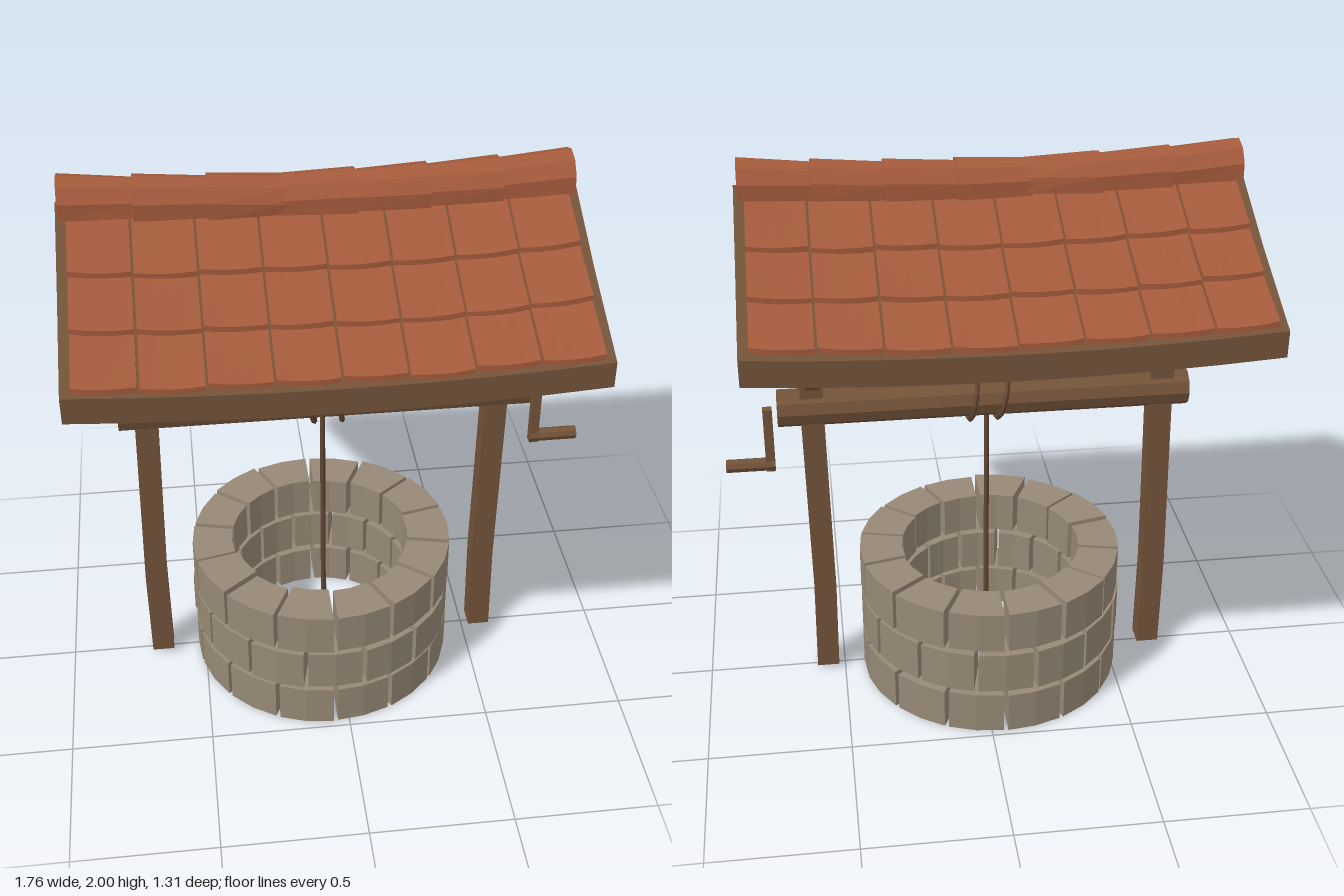
import * as THREE from 'three';

const mat = (name, color, side = THREE.FrontSide) =>
  Object.assign(new THREE.MeshStandardMaterial({ color, flatShading: true, side }), { name });

// Seeded jitter in the range -0.5 to 0.5
let seed = 7;
const jitter = () => {
  seed = (seed * 16807) % 2147483647;
  return seed / 2147483647 - 0.5;
};

const CX = -0.05; // middle of the well and of the roof

// Roof height, sagging towards the middle of its length
const sag = (x) => -0.03 * Math.max(0, 1 - ((x - CX) / 0.83) ** 2);
const roofY = (x, z) => {
  const d = Math.abs(z);
  return (d < 0.32 ? 1.91 - 0.516 * d : 1.745 - 0.453 * (d - 0.32)) + sag(x);
};

// Move every vertex of a geometry by a rule
function bend(geometry, rule) {
  const p = geometry.attributes.position;
  const v = new THREE.Vector3();
  for (let i = 0; i < p.count; i++) {
    v.fromBufferAttribute(p, i);
    rule(v);
    p.setXYZ(i, v.x, v.y, v.z);
  }
  geometry.computeVertexNormals();
  return geometry;
}

export function createModel() {
  const model = new THREE.Group();
  model.name = 'well';
  const wood = mat('wood', 0x735339);
  const endGrain = mat('endGrain', 0x93836d);
  const stone = mat('stone', 0x968975);
  const tile = mat('clayTile', 0xa45a3b);
  const ropeMat = mat('rope', 0x5f4632);

  const add = (name, geometry, material, x = 0, y = 0, z = 0, parent = model) => {
    const mesh = new THREE.Mesh(geometry, material);
    mesh.name = name;
    mesh.position.set(x, y, z);
    parent.add(mesh);
    return mesh;
  };
  const group = (name) => {
    const g = new THREE.Group();
    g.name = name;
    model.add(g);
    return g;
  };

  // Stone ring: three courses of wedge blocks with staggered joints
  const wall = group('stoneWall');
  const blocks = 14;
  const step = (Math.PI * 2) / blocks;
  for (let row = 0; row < 3; row++) {
    for (let i = 0; i < blocks; i++) {
      const outer = 0.476 + jitter() * 0.008;
      const inner = 0.325 + jitter() * 0.01;
      const mid = -Math.PI / 2 + (i + (row % 2 ? 0 : 0.5)) * step;
      const points = [];
      for (const [r, dir] of [[outer, 1], [inner, -1]]) {
        const half = step / 2 - 0.008 / r;
        for (let k = -1; k <= 1; k++) {
          const a = mid + dir * k * half;
          points.push(new THREE.Vector2(Math.cos(a) * r, Math.sin(a) * r));
        }
      }
      const g = new THREE.ExtrudeGeometry(new THREE.Shape(points), {
        depth: 0.153 + jitter() * 0.006, bevelEnabled: false,
      });
      g.rotateX(-Math.PI / 2);
      add('stoneBlock', g, stone, CX, row * 0.172 + 0.003, 0, wall);
    }
  }

  // Posts with a pair of diagonal braces each
  for (const x of [-0.66, 0.565]) {
    const post = new THREE.BoxGeometry(0.08, 1.42, 0.08, 1, 4, 1);
    bend(post, (v) => { v.x += 0.006 * Math.sin(v.y * 4); });
    add('post', post, wood, x, 0.73, 0);
    for (const s of [-1, 1]) {
      const brace = add('brace', new THREE.BoxGeometry(0.048, 0.38, 0.045), wood, x, 1.318, s * 0.138);
      brace.rotation.x = s * 0.76;
    }
  }
  add('topBeam', new THREE.BoxGeometry(1.4, 0.085, 0.084), wood, CX, 1.5, 0);

  // Windlass roller with pale end grain, and its crank
  const roller = new THREE.CylinderGeometry(0.066, 0.066, 1.44, 10);
  roller.rotateZ(Math.PI / 2);
  add('roller', roller, [wood, endGrain, endGrain], -0.03, 1.1, 0);
  add('crankArm', new THREE.BoxGeometry(0.032, 0.24, 0.032), wood, 0.725, 0.98, 0);
  const handle = new THREE.CylinderGeometry(0.024, 0.024, 0.17, 8);
  handle.rotateZ(Math.PI / 2);
  add('crankHandle', handle, wood, 0.795, 0.882, 0);

  // Hanging rope and its turns around the roller
  add('rope', new THREE.CylinderGeometry(0.01, 0.01, 1.0, 6), ropeMat, CX, 0.6, 0.082);
  for (const [x, tilt] of [[-0.09, 0.25], [0.012, 0.18]]) {
    const coil = new THREE.TorusGeometry(0.078, 0.01, 5, 12);
    coil.rotateY(Math.PI / 2);
    coil.rotateZ(tilt);
    add('ropeCoil', coil, ropeMat, x, 1.1, 0);
  }

  // Sagging wooden roof deck
  const profile = new THREE.Shape([
    [0, 1.91], [-0.32, 1.745], [-0.645, 1.598], [-0.645, 1.51], [-0.32, 1.66],
    [0, 1.84], [0.32, 1.66], [0.645, 1.51], [0.645, 1.598], [0.32, 1.745],
  ].map(([a, b]) => new THREE.Vector2(a, b)));
  const deck = new THREE.ExtrudeGeometry(profile, { depth: 1.66, steps: 8, bevelEnabled: false });
  deck.rotateY(Math.PI / 2);
  deck.translate(-0.88, 0, 0);
  bend(deck, (v) => { v.y += sag(v.x); });
  add('roofDeck', deck, wood);

  // Overlapping roof tiles, three rows of eight on each slope
  const tiles = group('roofTiles');
  const rows = [[0.04, 0.265], [0.255, 0.455], [0.445, 0.642]];
  for (const s of [-1, 1]) {
    for (const [top, bottom] of rows) {
      for (let i = 0; i < 8; i++) {
        const cx = -0.75 + i * 0.2;
        const twist = jitter() * 0.04;
        const end = bottom + jitter() * 0.01;
        const g = new THREE.BoxGeometry(0.192, 0.018, end - top, 4, 1, 2);
        g.translate(cx, 0, (s * (top + end)) / 2);
        bend(g, (v) => {
          const t = (Math.abs(v.z) - top) / (end - top);
          const u = (v.x - cx) / 0.1;
          v.y += roofY(v.x, v.z) + 0.008 + t * (0.016 + 0.003 * u * u + twist * u * 0.15);
          v.z += s * t * 0.006 * (1 - u * u);
        });
        add('roofTile', g, tile, 0, 0, 0, tiles);
      }
    }
  }

  // Ridge caps: seven tapered half rings, flaring towards the gables
  const ridge = group('ridgeCaps');
  const arch = [];
  for (const [r, dir] of [[0.088, 1], [0.062, -1]]) {
    for (let k = 0; k <= 6; k++) {
      const a = Math.PI / 2 + dir * (k / 6 - 0.5) * 3.7;
      arch.push(new THREE.Vector2(Math.cos(a) * r, Math.sin(a) * r));
    }
  }
  const capLength = 1.63 / 7;
  for (let i = 0; i < 7; i++) {
    const x0 = -0.87 + i * capLength;
    const flare = i < 3 ? -1 : 1;
    const g = new THREE.ExtrudeGeometry(new THREE.Shape(arch), { depth: capLength + 0.012, bevelEnabled: false });
    g.rotateY(Math.PI / 2);
    const turn = jitter() * 0.25;
    bend(g, (v) => {
      const t = v.x / capLength;
      const scale = 0.93 + 0.1 * (flare > 0 ? t : 1 - t);
      const c = Math.cos(turn * t);
      const n = Math.sin(turn * t);
      [v.y, v.z] = [(v.y * c - v.z * n) * scale, (v.y * n + v.z * c) * scale];
      v.x += x0 - (flare < 0 ? 0 : 0.006);
      v.y += 1.91 + sag(v.x);
    });
    add('ridgeCap', g, tile, 0, 0, 0, ridge);
  }

  return model;
}
